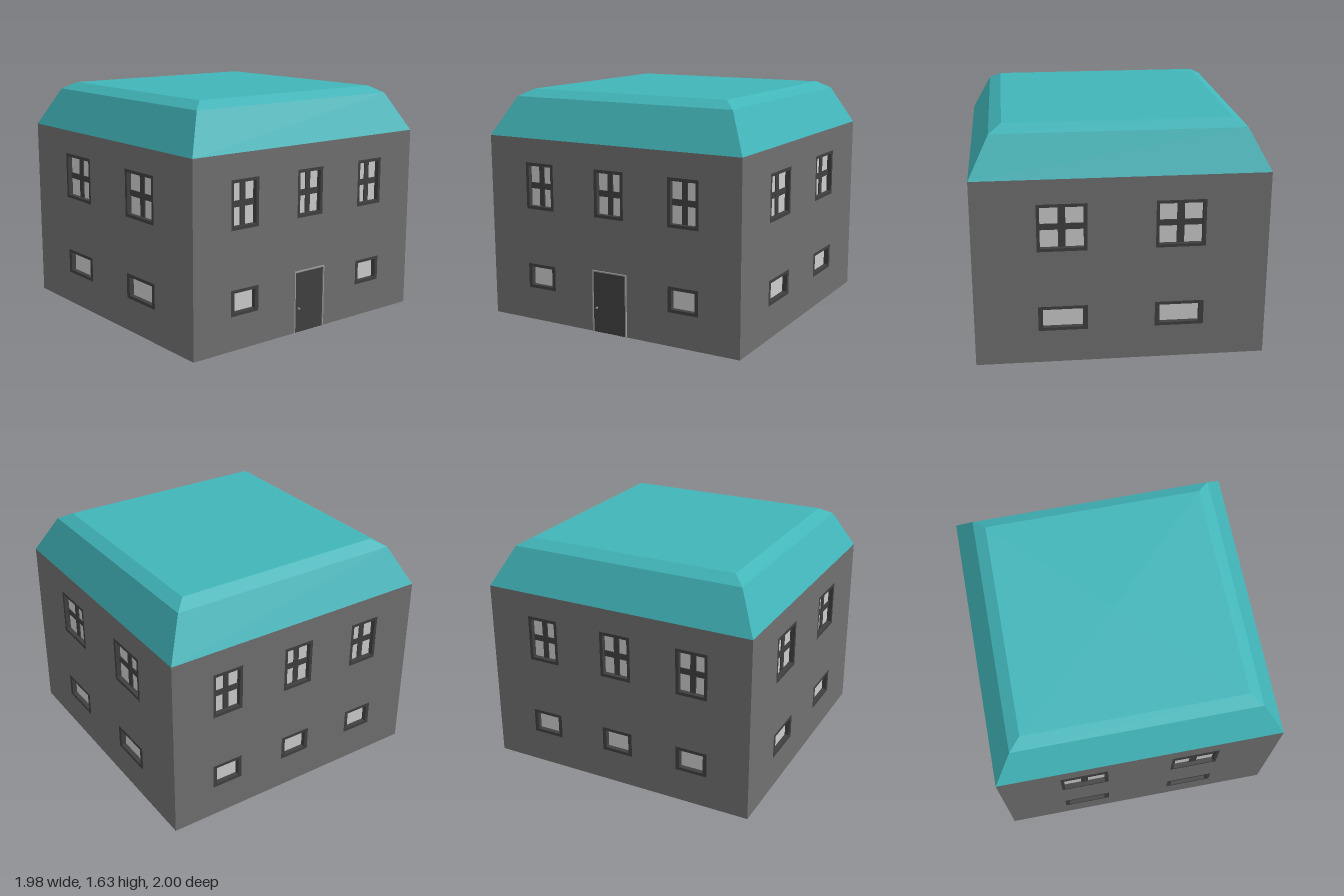
import * as THREE from 'three';

const mat = (name, color) => Object.assign(new THREE.MeshStandardMaterial({ color }), { name });

export function createModel() {
  const stone = mat('wall grey', 0x707070);
  const dark = mat('frame charcoal', 0x404040);
  const glass = mat('glass pale grey', 0xcccccc);
  const trim = mat('trim grey', 0x9a9a9a);
  const teal = mat('roof teal', 0x41b5b9);
  const model = new THREE.Group();
  model.name = 'house';

  const W = 0.99, H = 1.31, ZC = -0.01, RECESS = 0.035;
  const add = (parent, name, geo, material, x = 0, y = 0, z = 0) => {
    const m = new THREE.Mesh(geo, material);
    m.name = name;
    m.position.set(x, y, z);
    parent.add(m);
    return m;
  };
  const trace = (path, x0, y0, x1, y1) => {
    path.moveTo(x0, y0);
    path.lineTo(x1, y0);
    path.lineTo(x1, y1);
    path.lineTo(x0, y1);
    path.closePath();
    return path;
  };
  const rect = (cx, y0, y1, w) => trace(new THREE.Path(), cx - w / 2, y0, cx + w / 2, y1);

  // Recessed window: frame ring, glass sheet and optional cross bars
  function makeWindow(wall, { x, y0, y1, w, cross }) {
    const g = new THREE.Group();
    g.name = cross ? 'upperWindow' : 'lowerWindow';
    const b = cross ? 0.022 : w > 0.3 ? 0.032 : 0.027, by = 0.022;
    const shape = trace(new THREE.Shape(), x - w / 2, y0, x + w / 2, y1);
    shape.holes.push(rect(x, y0 + by, y1 - by, w - 2 * b));
    add(g, 'windowFrame', new THREE.ExtrudeGeometry(shape, { depth: RECESS, bevelEnabled: false }),
      dark, 0, 0, -RECESS);
    const h = y1 - y0, cy = (y0 + y1) / 2;
    add(g, 'glass', new THREE.PlaneGeometry(w - 0.01, h - 0.01), glass, x, cy, -RECESS + 0.001);
    if (cross) {
      const bar = w > 0.3 ? 0.05 : 0.04;
      add(g, 'verticalBar', new THREE.BoxGeometry(bar, h - 0.02, 0.008), dark, x, cy, -RECESS + 0.005);
      add(g, 'horizontalBar', new THREE.BoxGeometry(w - 0.02, 0.042, 0.007), dark, x, cy, -RECESS + 0.005);
    }
    wall.add(g);
  }

  // Each wall is a sheet with openings, turned to face outward
  function makeWall(name, angle, centres, w, hasDoor) {
    const wall = new THREE.Group();
    wall.name = name;
    const shape = trace(new THREE.Shape(), -W, 0, W, H);
    for (const x of centres) {
      const specs = [{ x, y0: 0.81, y1: 1.14, w, cross: true }];
      if (!(hasDoor && x === 0)) specs.push({ x, y0: 0.235, y1: 0.412, w, cross: false });
      for (const s of specs) {
        shape.holes.push(rect(s.x, s.y0, s.y1, s.w));
        makeWindow(wall, s);
      }
    }
    add(wall, 'wallFace', new THREE.ShapeGeometry(shape), stone);
    wall.rotation.y = angle;
    wall.position.set(Math.sin(angle) * W, 0, ZC + Math.cos(angle) * W);
    model.add(wall);
    return wall;
  }
  const front = makeWall('frontWall', 0, [-0.57, 0, 0.57], 0.23, true);
  makeWall('backWall', Math.PI, [-0.57, 0, 0.57], 0.23, false);
  makeWall('leftWall', Math.PI / 2, [-0.395, 0.395], 0.335, false);
  makeWall('rightWall', -Math.PI / 2, [-0.395, 0.395], 0.335, false);

  // Door with a slim surround and a small knob
  const door = new THREE.Group();
  door.name = 'door';
  const surround = trace(new THREE.Shape(), -0.137, 0, 0.137, 0.44);
  surround.holes.push(rect(0, 0.001, 0.431, 0.256));
  add(door, 'doorSurround', new THREE.ExtrudeGeometry(surround, { depth: 0.01, bevelEnabled: false }), trim);
  add(door, 'doorLeaf', new THREE.BoxGeometry(0.256, 0.43, 0.004), dark, 0, 0.216, 0.002);
  const knob = add(door, 'doorKnob', new THREE.CylinderGeometry(0.007, 0.007, 0.018, 12), trim, -0.1, 0.175, 0.011);
  knob.rotation.x = Math.PI / 2;
  front.add(door);

  // Floor underside
  add(model, 'floor', new THREE.PlaneGeometry(2 * W, 2 * W), stone, 0, 0, ZC).rotation.x = Math.PI / 2;

  // Two-pitch hipped roof: square tiers joined by four-sided frusta
  const tier = (bottom, top, y0, y1, open) => {
    const g = new THREE.CylinderGeometry(top * Math.SQRT2, bottom * Math.SQRT2, y1 - y0, 4, 1, open);
    g.rotateY(Math.PI / 4);
    const flat = g.toNonIndexed();
    flat.computeVertexNormals();
    return flat.translate(0, (y0 + y1) / 2, ZC);
  };
  add(model, 'roofSlope', tier(W, 0.85, H, 1.58, true), teal);
  add(model, 'roofCap', tier(0.85, 0.765, 1.58, 1.63, false), teal);

  return model;
}
